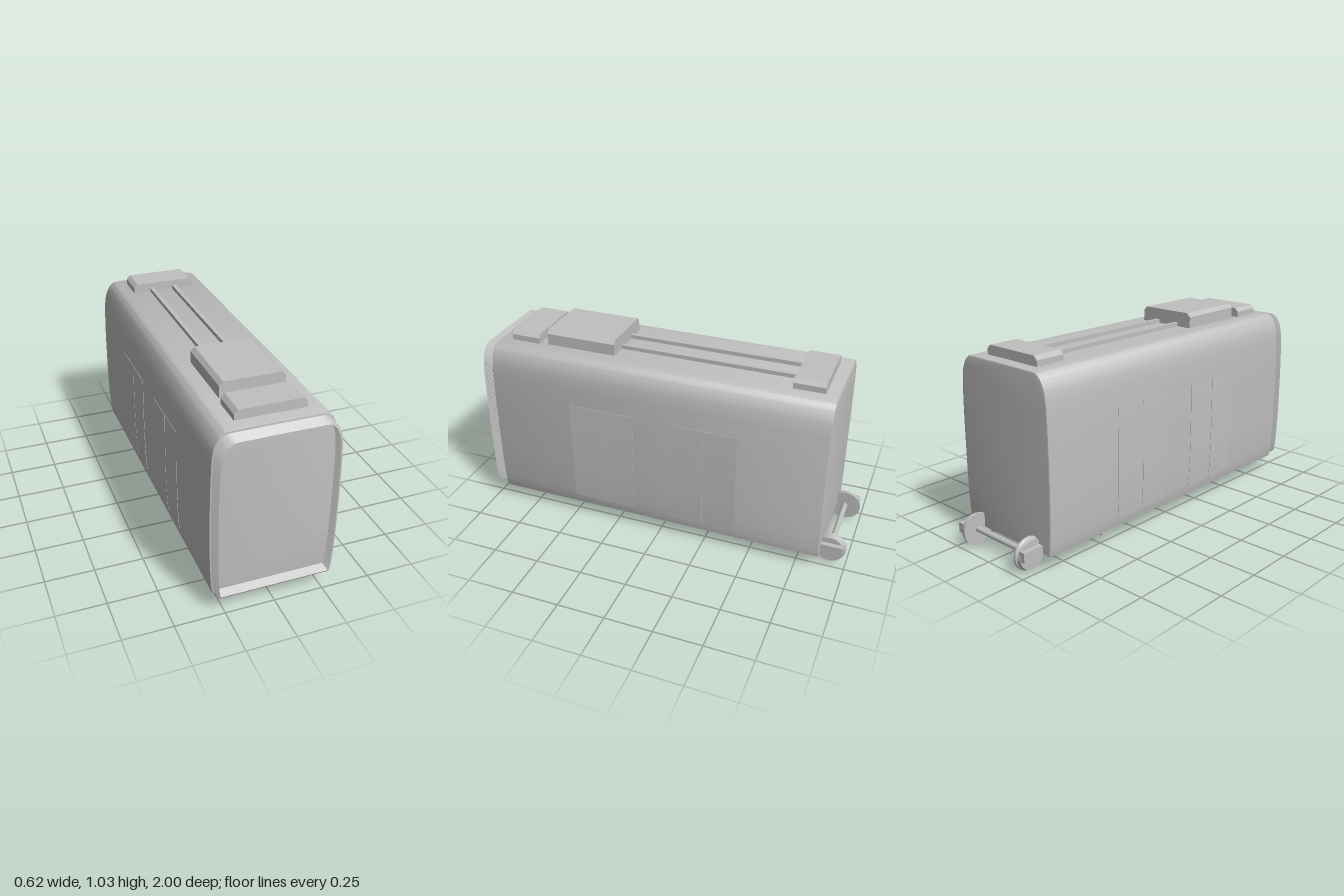
import * as THREE from 'three';
import { toCreasedNormals } from 'three/addons/utils/BufferGeometryUtils.js';

const grey = new THREE.MeshStandardMaterial({ color: 0xc0c0c0 });
grey.name = 'plain grey';
const greyOpen = grey.clone();
greyOpen.side = THREE.DoubleSide;

// Right-hand half of the car cross-section, from sill to roof centre
const skin = new THREE.SplineCurve([
  [0.29, 0.08], [0.299, 0.14], [0.306, 0.3], [0.307, 0.55], [0.303, 0.75], [0.294, 0.86],
  [0.273, 0.917], [0.25, 0.943], [0.222, 0.954], [0.12, 0.955], [0, 0.956],
].map(([x, y]) => new THREE.Vector2(x, y))).getPoints(44);

// Closed, counter-clockwise outline of the whole section
const section = [
  ...skin,
  ...skin.slice(0, -1).reverse().map((p) => new THREE.Vector2(-p.x, p.y)),
];

function skinX(y) {
  const i = Math.max(1, skin.findIndex((p) => p.y >= y));
  const a = skin[i - 1], b = skin[i];
  return a.x + ((b.x - a.x) * (y - a.y)) / (b.y - a.y);
}

function add(parent, name, geometry, material = grey) {
  const mesh = new THREE.Mesh(geometry, material);
  mesh.name = name;
  parent.add(mesh);
  return mesh;
}

// Extrude a list of points along z between two planes
function prism(points, z0, z1, bevel = 0) {
  const geo = new THREE.ExtrudeGeometry(new THREE.Shape(points), {
    depth: z1 - z0 - 2 * bevel, bevelEnabled: bevel > 0, bevelSize: bevel,
    bevelThickness: bevel, bevelOffset: -bevel, bevelSegments: 2,
  });
  geo.translate(0, 0, z0 + bevel);
  return toCreasedNormals(geo, 0.6);
}

// Zigzag sleeve lofted through shrunken copies of the section
function bellowsGeometry(z0, z1, folds) {
  const pos = [], index = [], n = section.length, rings = folds * 2;
  for (let r = 0; r <= rings; r++) {
    const inset = r % 2 ? 0.006 : 0.018;
    for (const p of section) {
      pos.push(p.x * (1 - inset / 0.307), 0.522 + (p.y - 0.522) * (0.985 - inset / 0.44), z0 + ((z1 - z0) * r) / rings);
    }
  }
  for (let r = 0; r < rings; r++) {
    for (let i = 0; i < n; i++) {
      const a = r * n + i, b = r * n + ((i + 1) % n);
      index.push(a, b, b + n, a, b + n, a + n);
    }
  }
  const geo = new THREE.BufferGeometry();
  geo.setAttribute('position', new THREE.Float32BufferAttribute(pos, 3));
  geo.setIndex(index);
  return toCreasedNormals(geo, 0.5);
}

// Roof box with chamfered long edges
function roofBox(w, top, z0, z1) {
  const c = 0.02, y0 = 0.945;
  const pts = [[-w, y0], [w, y0], [w, top - c], [w - c, top], [c - w, top], [-w, top - c]];
  return prism(pts.map(([x, y]) => new THREE.Vector2(x, y)), z0, z1);
}

// Thin door leaf that follows the curve of the side wall
function doorLeaf(side, z0, z1) {
  const outer = [], inner = [];
  for (let i = 0; i <= 12; i++) {
    const y = 0.13 + (0.57 * i) / 12, x = skinX(y);
    outer.push(new THREE.Vector2(side * (x + 0.002), y));
    inner.unshift(new THREE.Vector2(side * (x - 0.004), y));
  }
  return prism([...outer, ...inner], z0, z1);
}

function wheelset(z) {
  const g = new THREE.Group();
  g.name = 'wheelset';
  const axle = add(g, 'axle', new THREE.CylinderGeometry(0.015, 0.015, 0.4, 12));
  axle.rotation.z = Math.PI / 2;
  const profile = [[0, 0.186], [0.083, 0.186], [0.083, 0.196], [0.076, 0.202], [0.073, 0.219], [0, 0.219]];
  for (const side of [1, -1]) {
    // Flanged wheel turned about the axle
    const wheelGeo = new THREE.LatheGeometry(profile.map(([r, h]) => new THREE.Vector2(r, h)), 28);
    const wheel = add(g, 'wheel', toCreasedNormals(wheelGeo, 0.5));
    wheel.rotation.z = -side * Math.PI / 2;
    const box = add(g, 'axleBox', new THREE.BoxGeometry(0.035, 0.052, 0.14));
    box.position.set(side * 0.227, 0.015, 0);
  }
  g.position.set(0, 0.087, z);
  return g;
}

export function createModel() {
  const model = new THREE.Group();
  model.name = 'railCar';

  // Shell and open bellows at the front end
  add(model, 'body', prism(section, -0.87, 0.935, 0.006));
  add(model, 'bellows', bellowsGeometry(0.93, 1.0, 4), greyOpen);

  // Double doors on both sides
  for (const side of [1, -1]) {
    for (const z of [0.31, -0.245]) {
      add(model, 'doorLeaf', doorLeaf(side, z + 0.002, z + 0.177));
      add(model, 'doorLeaf', doorLeaf(side, z - 0.177, z - 0.002));
    }
  }

  // Roof equipment and the conduits that join it
  add(model, 'frontRoofBox', roofBox(0.174, 1.005, 0.71, 0.868));
  add(model, 'mainRoofUnit', roofBox(0.163, 1.035, 0.287, 0.665));
  add(model, 'rearRoofBox', roofBox(0.174, 1.005, -0.805, -0.645));
  for (const x of [-0.068, 0.063]) {
    const rod = add(model, 'roofConduit', new THREE.BoxGeometry(0.023, 0.03, 1.37));
    rod.position.set(x, 0.961, 0.035);
  }

  // Running gear under the rear end
  for (const z of [-0.42, -0.913]) model.add(wheelset(z));
  return model;
}
